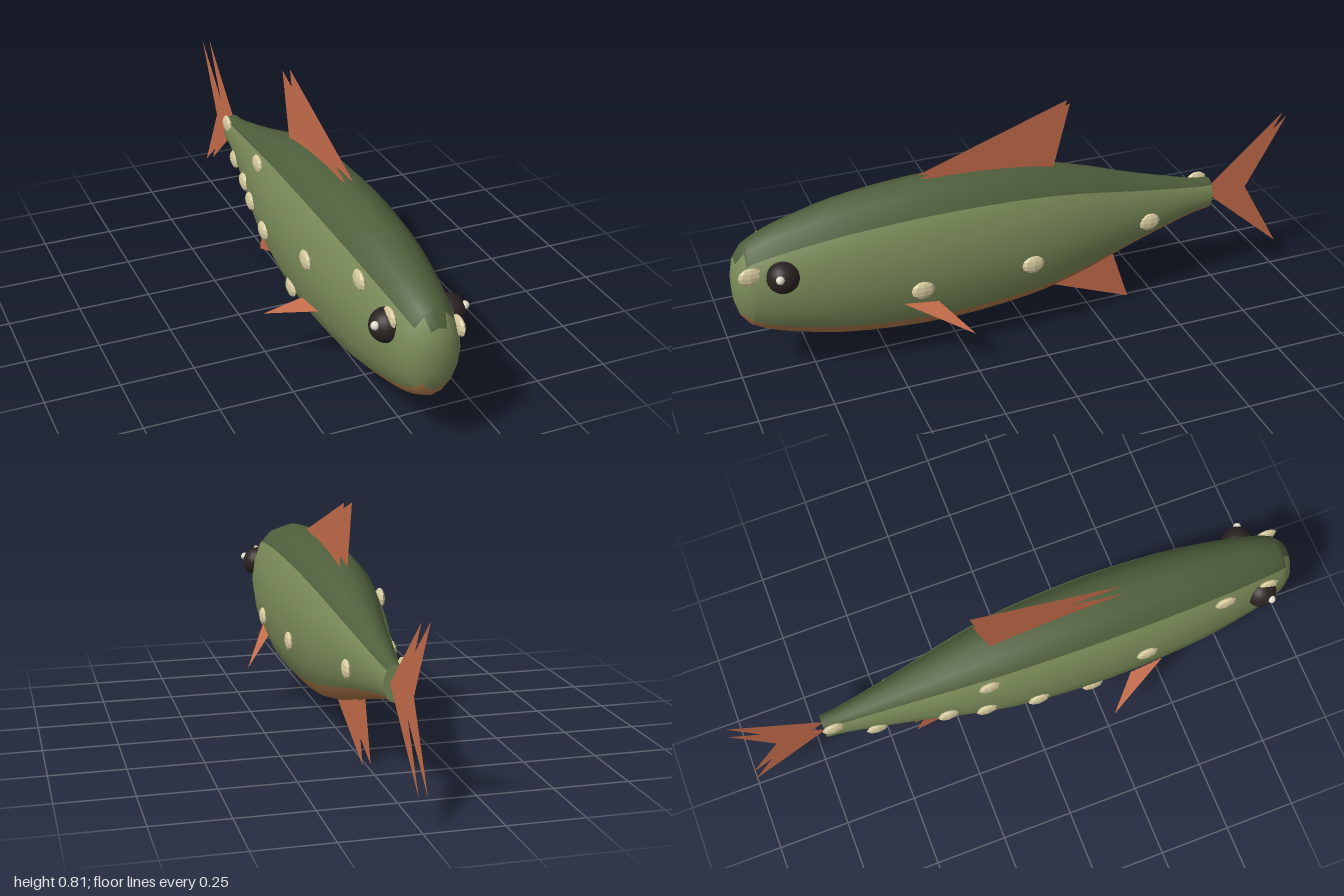
import * as THREE from 'three';

const CY = 0.361;    // height of the body axis
const FLAT = 0.62;   // body width relative to its height
const SIDES = 16;

const material = (color, extra = {}) => new THREE.MeshStandardMaterial({ color, ...extra });
const backMat = material(0x4f5f3c);
const flankMat = material(0x7a8a58);
const bellyMat = material(0xb07a4a);
const finMat = material(0xc46c4a, { side: THREE.DoubleSide });
const spotMat = material(0xd8cda0, { flatShading: true });
const eyeMat = material(0x2a2220);
const glintMat = material(0xe4dfd0);

// Body radius along z: blunt nose rings, then a smooth taper to the tail
const nose = [[1, 0], [0.998, 0.055], [0.985, 0.105]];
const taper = new THREE.SplineCurve([
  [0.955, 0.145], [0.9, 0.174], [0.8, 0.208], [0.6, 0.252], [0.3, 0.274], [0, 0.253],
  [-0.2, 0.207], [-0.4, 0.14], [-0.55, 0.095], [-0.65, 0.068], [-0.712, 0.059],
].map(p => new THREE.Vector2(...p)));
const rings = [...nose, ...taper.getPoints(32).map(p => [p.x, p.y])];

function radiusAt(z) {
  const i = Math.max(1, rings.findIndex(r => r[0] <= z));
  const [z0, r0] = rings[i - 1], [z1, r1] = rings[i];
  return THREE.MathUtils.mapLinear(z, z0, z1, r0, r1);
}

function addMesh(parent, name, geometry, mat) {
  const mesh = new THREE.Mesh(geometry, mat);
  mesh.name = name;
  parent.add(mesh);
  return mesh;
}

// Elliptical rings joined into one smooth skin, split into back, flanks and belly
function buildBody() {
  const body = new THREE.Group();
  body.name = 'body';
  const positions = [];
  for (const [z, r] of rings) {
    for (let j = 0; j < SIDES; j++) {
      const a = (j / SIDES) * Math.PI * 2;
      positions.push(FLAT * r * Math.sin(a), CY + r * Math.cos(a), z);
    }
  }
  const faces = { back: [], flanks: [], belly: [] };
  for (let i = 0; i < rings.length - 1; i++) {
    for (let j = 0; j < SIDES; j++) {
      const k = Math.min(j, SIDES - 1 - j);
      let part = k < 2 ? 'back' : k > 5 ? 'belly' : 'flanks';
      if (i < 2 || (i === 2 && k === 1)) part = 'flanks';
      const n = (j + 1) % SIDES;
      const a = i * SIDES + j, b = i * SIDES + n;
      const c = a + SIDES, d = b + SIDES;
      if (i > 0) faces[part].push(a, b, c);
      faces[part].push(b, d, c);
    }
  }
  const skin = new THREE.BufferGeometry();
  skin.setAttribute('position', new THREE.Float32BufferAttribute(positions, 3));
  skin.setIndex([...faces.back, ...faces.flanks, ...faces.belly]);
  skin.computeVertexNormals();
  // the nose tip looks straight ahead
  for (let j = 0; j < SIDES; j++) skin.attributes.normal.setXYZ(j, 0, 0, 1);
  const mats = { back: backMat, flanks: flankMat, belly: bellyMat };
  for (const part in faces) {
    const g = new THREE.BufferGeometry();
    g.setAttribute('position', skin.attributes.position);
    g.setAttribute('normal', skin.attributes.normal);
    g.setIndex(faces[part]);
    addMesh(body, part, g, mats[part]);
  }
  const [endZ, endR] = rings[rings.length - 1];
  const cap = addMesh(body, 'tailEnd', new THREE.CircleGeometry(endR, SIDES), flankMat);
  cap.scale.x = FLAT;
  cap.rotation.y = Math.PI;
  cap.position.set(0, CY, endZ);
  return body;
}

// Upright fin: a pair of thin parallel sheets outlined by [z, y] points
function buildFin(name, outline) {
  const fin = new THREE.Group();
  fin.name = name;
  const shape = new THREE.Shape(outline.map(([z, y]) => new THREE.Vector2(-z, y)));
  for (const side of [-1, 1]) {
    const sheet = addMesh(fin, name + 'Sheet', new THREE.ShapeGeometry(shape), finMat);
    sheet.rotation.y = Math.PI / 2;
    sheet.position.x = side * 0.0135;
  }
  return fin;
}

export function createModel() {
  const fish = new THREE.Group();
  fish.name = 'fish';
  fish.add(buildBody());

  fish.add(buildFin('dorsalFin', [[0.36, 0.635], [-0.165, 0.815], [-0.105, 0.575]]));
  fish.add(buildFin('analFin', [[-0.07, 0.135], [-0.335, 0.21], [-0.405, 0]]));
  fish.add(buildFin('tailFin', [[-0.705, CY], [-1, 0.62], [-0.855, CY], [-1, 0.105]]));

  for (const side of [-1, 1]) {
    const label = side > 0 ? 'left' : 'right';

    // Side fins, swept down and back
    const fin = new THREE.BufferGeometry().setFromPoints([
      new THREE.Vector3(side * 0.155, 0.265, 0.475),
      new THREE.Vector3(side * 0.16, 0.25, 0.355),
      new THREE.Vector3(side * 0.257, 0.157, 0.26),
    ]);
    fin.computeVertexNormals();
    addMesh(fish, label + 'SideFin', fin, finMat);

    // Eyes with a small glint
    const eye = addMesh(fish, label + 'Eye', new THREE.SphereGeometry(0.054, 20, 14), eyeMat);
    eye.position.set(side * 0.1, 0.424, 0.85);
    const glint = addMesh(fish, label + 'EyeGlint', new THREE.SphereGeometry(0.014, 10, 8), glintMat);
    glint.position.set(side * 0.146, 0.442, 0.868);
  }

  // Pale bumps on the skin: side, height, z
  const spots = [
    [1, 0.435, 0.95], [1, 0.31, 0.41], [1, 0.315, 0.02], [1, 0.338, -0.445],
    [-1, 0.46, 0.87], [-1, 0.497, 0.7], [-1, 0.415, 0.4], [-1, 0.21, 0.22], [-1, 0.32, 0.01],
    [-1, 0.49, -0.15], [-1, 0.34, -0.17], [-1, 0.35, -0.3], [-1, 0.32, -0.54], [-1, 0.4, -0.68],
  ];
  const spotGeometry = new THREE.SphereGeometry(1, 8, 6);
  for (const [side, y, z] of spots) {
    const r = radiusAt(z);
    const x = FLAT * Math.sqrt(Math.max(0, r * r - (y - CY) ** 2));
    const spot = addMesh(fish, 'skinBump', spotGeometry, spotMat);
    spot.scale.set(0.013, 0.032, 0.04);
    spot.position.set(side * (x + 0.003), y, z);
  }
  return fish;
}
